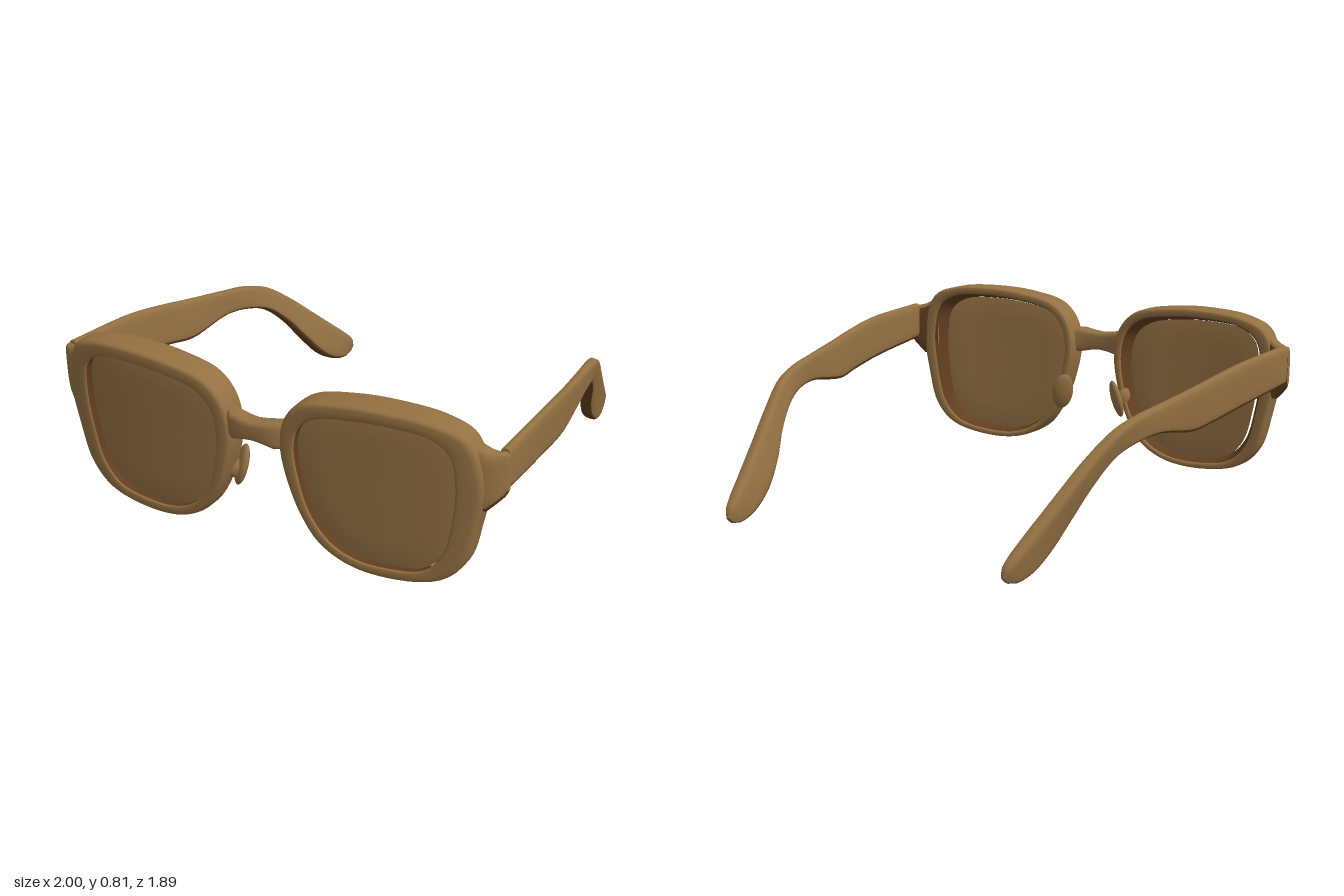
import * as THREE from 'three';

const brown = new THREE.MeshStandardMaterial({ color: 0x947143 });
brown.name = 'brown';
const darkBrown = new THREE.MeshStandardMaterial({ color: 0x623f20 });
darkBrown.name = 'darkBrown';

const V = (x, y, z) => new THREE.Vector3(x, y, z);
const spline = (pts, closed) => new THREE.CatmullRomCurve3(pts, closed, 'centripetal');

// Closed solid from rings of points; rings either loop back on themselves or get end caps.
// The winding is turned outward by the sign of the volume, so mirrored parts stay correct.
// isDark(j) picks the strips along the loft that take the dark colour.
function loft(name, rings, { side = 1, loop = false, isDark = () => false } = {}) {
  const n = rings[0].length, m = rings.length, light = [], dark = [];
  const pts = rings.flat().map(p => V(p.x * side, p.y, p.z));
  for (let i = 0; i < (loop ? m : m - 1); i++) {
    for (let j = 0; j < n; j++) {
      const a = i * n + j, b = i * n + (j + 1) % n;
      const c = ((i + 1) % m) * n + j, d = ((i + 1) % m) * n + (j + 1) % n;
      (isDark(j) ? dark : light).push(a, b, d, a, d, c);
    }
  }
  if (!loop) {
    for (const r of [0, m - 1]) {
      const base = pts.length;
      const ring = pts.slice(r * n, r * n + n).map(p => p.clone());
      pts.push(...ring, ring.reduce((s, p) => s.add(p), V(0, 0, 0)).divideScalar(n));
      for (let j = 0; j < n; j++) {
        const a = base + j, b = base + (j + 1) % n;
        light.push(base + n, ...(r ? [a, b] : [b, a]));
      }
    }
  }
  const idx = [...light, ...dark];
  let volume = 0;
  for (let i = 0; i < idx.length; i += 3) {
    volume += pts[idx[i]].dot(pts[idx[i + 1]].clone().cross(pts[idx[i + 2]]));
  }
  if (volume < 0) {
    for (let i = 0; i < idx.length; i += 3) [idx[i], idx[i + 1]] = [idx[i + 1], idx[i]];
  }
  const geo = new THREE.BufferGeometry().setFromPoints(pts);
  geo.setIndex(idx);
  geo.addGroup(0, light.length, 0);
  if (dark.length) geo.addGroup(light.length, dark.length, 1);
  geo.computeVertexNormals();
  const mesh = new THREE.Mesh(geo, [brown, darkBrown]);
  mesh.name = name;
  return mesh;
}

// Rounded-rectangle outline in the range -1..1
const SECTION = Array.from({ length: 24 }, (_, i) => {
  const a = (i / 24) * Math.PI * 2;
  const f = c => Math.sign(c) * Math.sqrt(Math.abs(c));
  return [f(Math.cos(a)), f(Math.sin(a))];
});
const sideOf = axis => j => SECTION[j][axis] + SECTION[(j + 1) % 24][axis] < -1.7;
const onInner = sideOf(0), onUnderside = sideOf(1);

// Wrap of the front frame: front and back depth across the width
const frontZ = (x, y) => 0.932 - 0.08 * x ** 3 + 0.04 * (y - 0.6);
const backZ = x => 0.82 - 0.05 * x;

const outer = spline([
  [0.11, 0.57], [0.135, 0.69], [0.21, 0.77], [0.38, 0.81], [0.58, 0.82], [0.77, 0.803], [0.88, 0.755], [0.935, 0.58],
  [0.905, 0.38], [0.86, 0.23], [0.77, 0.14], [0.58, 0.098], [0.39, 0.112], [0.26, 0.18], [0.19, 0.28], [0.135, 0.42],
].map(([x, y]) => V(x, y - 0.01, 0)), true);
const inner = spline([
  [0.185, 0.57], [0.21, 0.66], [0.28, 0.715], [0.43, 0.742], [0.58, 0.75], [0.73, 0.735], [0.8, 0.68], [0.818, 0.56],
  [0.8, 0.38], [0.765, 0.255], [0.69, 0.175], [0.56, 0.15], [0.42, 0.155], [0.32, 0.2], [0.24, 0.3], [0.2, 0.43],
].map(([x, y]) => V(x, y - 0.01, 0)), true);

function rim(side) {
  const N = 112;
  const rings = Array.from({ length: N }, (_, i) => {
    const o = outer.getPoint(i / N), q = inner.getPoint(i / N);
    return SECTION.map(([u, v]) => {
      // the opening widens toward the back
      const widen = 0.45 * (1 - v) / 2;
      const p = q.clone().lerp(o, widen + (1 - widen) * (u + 1) / 2);
      p.z = THREE.MathUtils.lerp(backZ(p.x), frontZ(p.x, p.y), (v + 1) / 2);
      return p;
    });
  });
  return loft('rim', rings, { side, loop: true, isDark: onInner });
}

function lens(side) {
  const N = 80, center = V(0.5, 0.45, 0);
  const layer = (s, drop) => Array.from({ length: N }, (_, i) => {
    const p = center.clone().lerp(inner.getPoint(i / N), s);
    p.z = frontZ(p.x, p.y) - drop;
    return p;
  });
  const steps = [0.01, 0.35, 0.7, 1.03];
  return loft('lens', [
    ...steps.map(s => layer(s, 0.04)),
    ...steps.slice().reverse().map(s => layer(s, 0.05)),
  ], { side });
}

// Temple arm: matching top and bottom edge points as [z, y, x], with thickness
function temple(side) {
  const stations = [
    [0.77, 0.697, 0.976, 0.77, 0.53, 0.976, 0.042],
    [0.4, 0.677, 0.957, 0.4, 0.49, 0.948, 0.042],
    [0.2, 0.648, 0.932, 0.2, 0.46, 0.924, 0.042],
    [0.05, 0.621, 0.91, 0.07, 0.442, 0.9, 0.042],
    [-0.15, 0.588, 0.878, -0.17, 0.472, 0.87, 0.042],
    [-0.3, 0.562, 0.853, -0.3, 0.455, 0.84, 0.044],
    [-0.42, 0.52, 0.828, -0.4, 0.415, 0.805, 0.05],
    [-0.55, 0.425, 0.786, -0.5, 0.322, 0.767, 0.056],
    [-0.68, 0.31, 0.747, -0.58, 0.212, 0.727, 0.062],
    [-0.8, 0.205, 0.71, -0.67, 0.108, 0.7, 0.064],
    [-0.89, 0.127, 0.683, -0.77, 0.04, 0.685, 0.058],
    [-0.93, 0.085, 0.671, -0.86, 0.015, 0.674, 0.042],
    [-0.94, 0.05, 0.667, -0.91, 0.022, 0.667, 0.02],
  ];
  const top = spline(stations.map(s => V(s[2], s[1], s[0])));
  const bottom = spline(stations.map(s => V(s[5], s[4], s[3])));
  const N = 72, last = stations.length - 1;
  const rings = Array.from({ length: N + 1 }, (_, i) => {
    const t = i / N, k = Math.min(Math.floor(t * last), last - 1);
    const half = THREE.MathUtils.lerp(stations[k][6], stations[k + 1][6], t * last - k) / 2;
    const a = top.getPoint(t), b = bottom.getPoint(t);
    const along = top.getTangent(t).add(bottom.getTangent(t));
    const across = along.cross(a.clone().sub(b)).normalize();
    return SECTION.map(([u, v]) => b.clone().lerp(a, (v + 1) / 2).addScaledVector(across, u * half));
  });
  return loft('temple', rings, { side, isDark: onUnderside });
}

// Upright sections along x: [x, bottom, top, back, front]
function barAlongX(name, stations, options) {
  return loft(name, stations.map(([x, y0, y1, z0, z1]) => SECTION.map(([u, v]) =>
    V(x, (y0 + y1) / 2 + v * (y1 - y0) / 2, (z0 + z1) / 2 + u * (z1 - z0) / 2))), options);
}

function nosePad(side) {
  const group = new THREE.Group();
  group.name = 'nosePad';
  const pad = new THREE.Mesh(new THREE.SphereGeometry(1, 24, 16), brown);
  pad.name = 'pad';
  pad.scale.set(0.022, 0.088, 0.05);
  pad.rotation.set(0, -0.8 * side, 0.28 * side);
  pad.position.set(0.145 * side, 0.355, 0.802);
  const arm = new THREE.Mesh(new THREE.SphereGeometry(1, 16, 12), brown);
  arm.name = 'padArm';
  arm.scale.set(0.03, 0.05, 0.035);
  arm.position.set(0.165 * side, 0.36, 0.835);
  group.add(pad, arm);
  return group;
}

export function createModel() {
  const model = new THREE.Group();
  model.name = 'eyeglasses';
  // the frame sits very slightly askew
  model.rotation.z = 0.015;
  model.position.x = 0.008;

  for (const side of [1, -1]) {
    const half = new THREE.Group();
    half.name = side > 0 ? 'leftSide' : 'rightSide';
    half.add(rim(side), lens(side), temple(side), nosePad(side));
    // end piece joining rim and temple, dark behind and below
    half.add(barAlongX('endPiece', [
      [0.86, 0.47, 0.72, 0.79, 0.86], [0.9, 0.45, 0.718, 0.778, 0.858], [0.935, 0.455, 0.698, 0.77, 0.848],
      [0.965, 0.485, 0.69, 0.766, 0.828], [0.988, 0.51, 0.69, 0.764, 0.805], [0.998, 0.53, 0.675, 0.765, 0.788],
    ], { side, isDark: j => onInner(j) || onUnderside(j) }));
    model.add(half);
  }

  // waisted bridge
  model.add(barAlongX('bridge', [
    [-0.15, 0.545, 0.65, 0.84, 0.895], [-0.12, 0.54, 0.652, 0.85, 0.92], [-0.095, 0.54, 0.652, 0.86, 0.942],
    [-0.04, 0.552, 0.642, 0.866, 0.945], [0, 0.556, 0.638, 0.868, 0.945], [0.04, 0.552, 0.642, 0.866, 0.945],
    [0.095, 0.54, 0.652, 0.86, 0.942], [0.12, 0.54, 0.652, 0.85, 0.92], [0.15, 0.545, 0.65, 0.84, 0.895],
  ]));
  return model;
}
